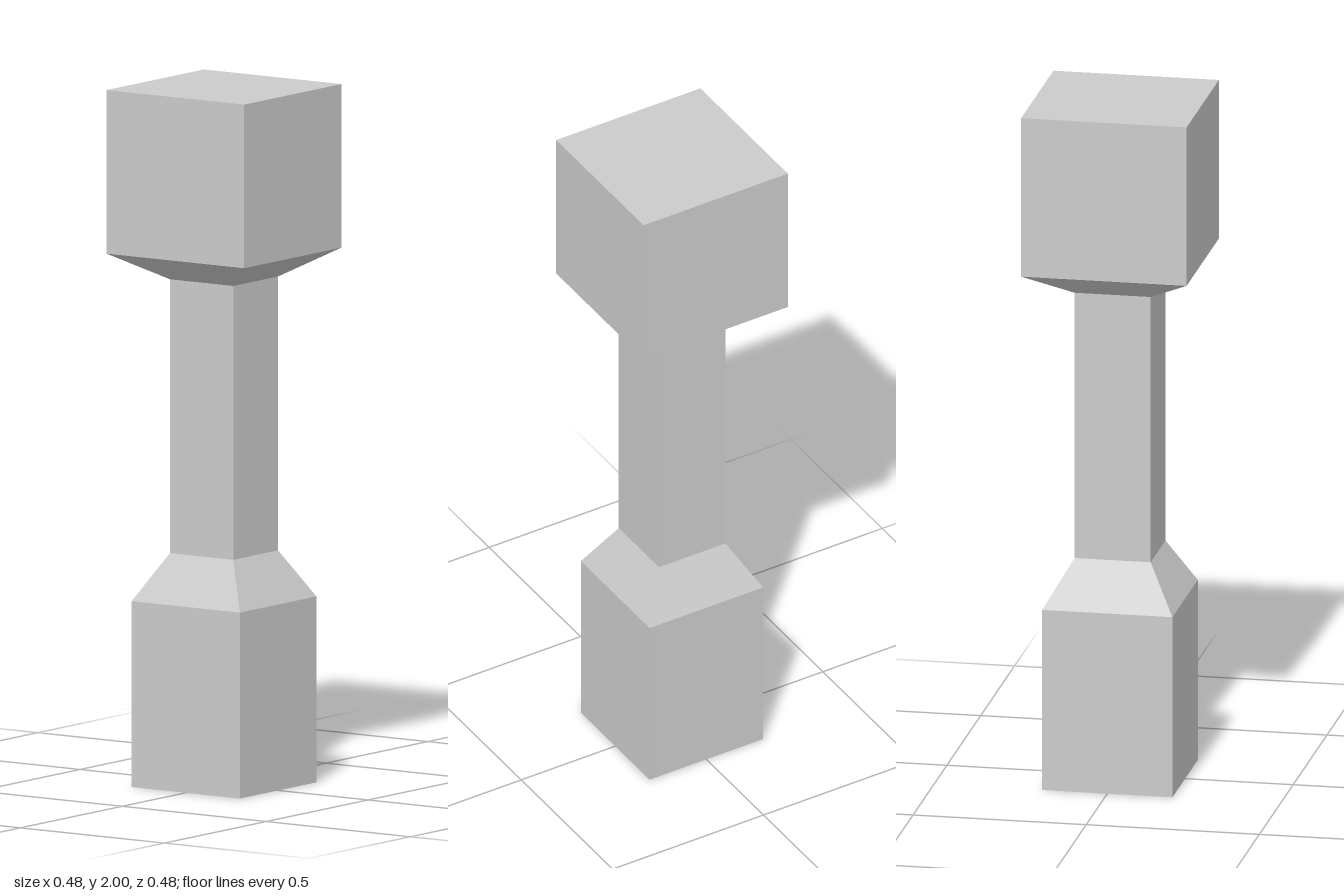
import * as THREE from 'three';

// Square column sections, bottom to top: name, bottom y, top y, bottom half width, top half width
const SECTIONS = [
  ['base', 0, 0.533, 0.188, 0.188],
  ['baseTaper', 0.533, 0.668, 0.188, 0.11],
  ['shaft', 0.668, 1.453, 0.11, 0.11],
  ['capitalFlare', 1.453, 1.531, 0.11, 0.239],
  ['capitalBlock', 1.531, 2, 0.239, 0.239],
];

// Four-sided frustum with its faces square to the x and z axes
function squareFrustum(y0, y1, half0, half1) {
  const geometry = new THREE.CylinderGeometry(
    half1 * Math.SQRT2, half0 * Math.SQRT2, y1 - y0, 4, 1, false, Math.PI / 4);
  return geometry.translate(0, (y0 + y1) / 2, 0);
}

export function createModel() {
  const pillar = new THREE.Group();
  pillar.name = 'pillar';
  const stone = new THREE.MeshStandardMaterial({ color: 0xcccccc, flatShading: true });

  for (const [name, ...size] of SECTIONS) {
    const mesh = new THREE.Mesh(squareFrustum(...size), stone);
    mesh.name = name;
    pillar.add(mesh);
  }
  return pillar;
}
